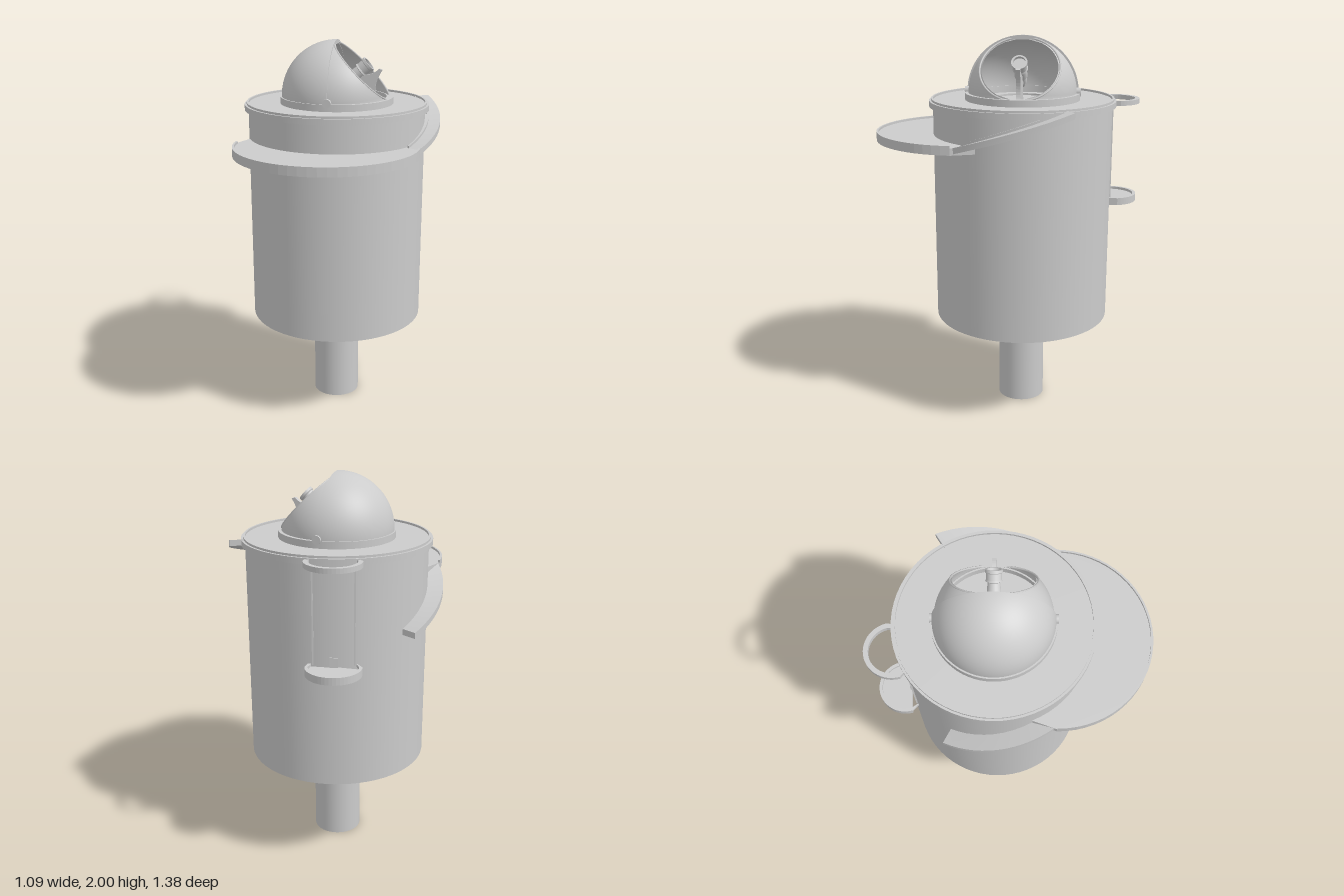
import * as THREE from 'three';

const grey = new THREE.MeshStandardMaterial({ color: 0xcccccc, side: THREE.DoubleSide });
const CX = -0.085; // tower axis in z
const R = 0.465;   // tower radius

function part(parent, name, geo, x = 0, y = 0, z = 0) {
  const m = new THREE.Mesh(geo, grey);
  m.name = name;
  m.position.set(x, y, z);
  parent.add(m);
  return m;
}

// Revolved profile with crisp edges: each straight run gets its own surface
function turned(parent, name, pts, seg = 64) {
  const g = new THREE.Group();
  g.name = name;
  for (let i = 0; i < pts.length - 1; i++) {
    const run = [pts[i], pts[i + 1]].map(p => new THREE.Vector2(p[0], p[1]));
    part(g, name + 'Face', new THREE.LatheGeometry(run, seg));
  }
  parent.add(g);
  return g;
}

// Flat slab from a plan shape (x, z) with its top at y = top
function slab(shape, top, thick, seg = 16) {
  const g = new THREE.ExtrudeGeometry(shape, { depth: thick, bevelEnabled: false, curveSegments: seg });
  return g.rotateX(Math.PI / 2).translate(0, top, 0);
}

// Half ring in plan, centred on (0, cz)
function halfRing(cz, outer, inner) {
  const s = new THREE.Shape();
  s.absarc(0, cz, outer, 0, Math.PI, false);
  s.absarc(0, cz, inner, Math.PI, 0, true);
  return s;
}

// Curved sloping strip round the tower from angle a0 to a1
function ramp(r0, r1, a0, a1, y0, y1, thick) {
  const g = new THREE.BoxGeometry(1, thick, 1, 1, 1, 14);
  const p = g.attributes.position;
  for (let i = 0; i < p.count; i++) {
    const t = p.getZ(i) + 0.5;
    const r = p.getX(i) > 0 ? r1 : r0;
    const a = a0 + (a1 - a0) * t;
    p.setXYZ(i, r * Math.cos(a), y0 + (y1 - y0) * t + p.getY(i) - thick / 2, r * Math.sin(a));
  }
  g.computeVertexNormals();
  return g;
}

// Side of the front dome: a quarter sphere cut off by a 45 degree plane
function domeCheek(r, cut) {
  const g = new THREE.PlaneGeometry(1, 1, 24, 14);
  const p = g.attributes.position;
  for (let i = 0; i < p.count; i++) {
    const phi = (p.getX(i) + 0.5) * Math.PI / 2;
    const max = Math.asin(Math.min(1, cut / r / (Math.cos(phi) + Math.sin(phi))));
    const th = (0.5 - p.getY(i)) * max;
    p.setXYZ(i, r * Math.sin(th) * Math.cos(phi), r * Math.sin(th) * Math.sin(phi), r * Math.cos(th));
  }
  g.computeVertexNormals();
  return g;
}

function buildTower(root) {
  turned(root, 'towerWall', [[R - 0.02, 0.82], [R - 0.02, 0.505], [R, 0.505], [R, 1.645]]);
  turned(root, 'topDeck', [[R, 1.645], [0.485, 1.645], [0.485, 1.675], [0, 1.675]]);
  turned(root, 'deckCurb', [[0.474, 1.675], [0.474, 1.686], [0.464, 1.686], [0.464, 1.675]]);
  turned(root, 'innerFloor', [[R - 0.02, 0.82], [0.33, 0.82], [0.3, 0.86], [0.12, 0.86]]);
  part(root, 'column', new THREE.CylinderGeometry(0.125, 0.125, 0.86, 48), 0, 0.43, 0);

  // Ribs bracing the column head
  const rib = new THREE.Shape([[0.11, 0.7], [0.15, 0.7], [0.25, 0.8], [0.25, 0.86], [0.11, 0.86]]
    .map(q => new THREE.Vector2(...q)));
  for (let i = 0; i < 24; i++) {
    const g = new THREE.ExtrudeGeometry(rib, { depth: 0.016, bevelEnabled: false });
    part(root, 'columnRib', g.translate(0, 0, -0.008)).rotation.y = i * Math.PI / 12;
  }
}

function buildBalcony(root) {
  // Wide front platform wrapped round the tower
  const s = new THREE.Shape();
  s.absarc(0, 0.3, 0.47, 0, Math.PI, false);
  s.lineTo(-0.43, 0.185);
  s.absarc(0, 0, R, Math.PI - 0.406, 0.406, true);
  part(root, 'frontPlatform', slab(s, 1.5, 0.035));
  part(root, 'platformCurb', slab(halfRing(0.3, 0.47, 0.46), 1.512, 0.014));

  // One ramp climbs to the deck, the other descends
  const a = 0.56;
  part(root, 'upperRamp', ramp(R - 0.005, 0.545, -0.57, a, 1.68, 1.5, 0.03));
  part(root, 'upperRampCurb', ramp(0.476, 0.484, -0.4, a, 1.665, 1.512, 0.014));
  part(root, 'lowerRamp', ramp(R - 0.005, 0.545, Math.PI - a, Math.PI + 0.48, 1.5, 1.29, 0.03));
}

function buildLift(root) {
  // Local +z points outward from the rear wall
  const g = new THREE.Group();
  g.name = 'rearLift';
  g.rotation.y = Math.atan2(-0.145, -0.468);
  root.add(g);
  const plan = (outer, inner) => {
    const s = new THREE.Shape();
    s.moveTo(outer - 0.02, 0.43);
    s.absarc(0, 0.49, outer, 0, Math.PI, false);
    s.lineTo(-outer + 0.02, 0.43);
    if (inner) {
      s.lineTo(-inner + 0.02, 0.43);
      s.absarc(0, 0.49, inner, Math.PI, 0, true);
      s.lineTo(inner - 0.02, 0.43);
    }
    return s;
  };
  part(g, 'upperLoop', slab(plan(0.138, 0.115), 1.67, 0.025, 12));
  part(g, 'lowerPlatform', slab(plan(0.138, 0), 1.14, 0.025, 12));
  part(g, 'lowerPlatformCurb', slab(plan(0.138, 0.122), 1.153, 0.014, 12));
  for (const x of [-0.1, 0.1]) part(g, 'guideRail', new THREE.BoxGeometry(0.008, 0.5, 0.01), x, 1.4, 0.456);
  part(g, 'door', new THREE.BoxGeometry(0.04, 0.05, 0.01), 0, 1.165, 0.466);
}

function buildDome(root) {
  const dome = new THREE.Group();
  dome.name = 'dome';
  dome.position.y = 1.71;
  root.add(dome);
  turned(dome, 'baseRing', [[0.298, -0.035], [0.298, 0], [0.262, 0], [0.262, -0.035]]);
  turned(dome, 'floorRing', [[0.155, -0.035], [0.155, -0.025], [0.14, -0.025], [0.14, -0.035]]);

  // Closed half, with an inner skin and arched edge
  for (const r of [0.29, 0.268])
    part(dome, 'rearShell', new THREE.SphereGeometry(r, 36, 20, -Math.PI / 2, Math.PI, 0, Math.PI / 2));
  part(dome, 'shellEdge', new THREE.RingGeometry(0.268, 0.29, 40, 1, 0, Math.PI).rotateY(Math.PI / 2));

  // Open half: two cheeks round a slanted circular opening
  for (const side of [1, -1]) {
    for (const r of [0.28, 0.27]) part(dome, 'frontCheek', domeCheek(r, 0.268)).scale.z = side;
    const knob = part(dome, 'hingeKnob', new THREE.CylinderGeometry(0.022, 0.022, 0.025, 16), 0, 0.005, side * 0.288);
    knob.rotation.x = Math.PI / 2;
  }
  const lip = part(dome, 'openingLip', new THREE.TorusGeometry(0.203, 0.005, 6, 48), 0.134, 0.134, 0);
  lip.rotation.set(-Math.PI / 4, Math.PI / 2, 0, 'YXZ');
}

function buildTelescope(root) {
  const g = new THREE.Group();
  g.name = 'telescope';
  root.add(g);
  const tube = turned(g, 'telescopeTube', [[0, 0], [0.02, 0], [0.02, 0.03], [0.028, 0.03], [0.024, 0.075],
    [0.034, 0.08], [0.029, 0.135], [0.04, 0.14], [0.036, 0.148], [0.036, 0.178], [0.041, 0.182],
    [0.041, 0.195], [0.032, 0.195], [0.032, 0.18], [0, 0.18]], 24);
  tube.position.set(0.02, 1.755, 0);
  tube.rotation.z = -0.87;

  // Thin curved stand
  const s = new THREE.Shape();
  s.moveTo(0.06, 1.675);
  s.lineTo(0.23, 1.675);
  s.quadraticCurveTo(0.17, 1.74, 0.24, 1.85);
  s.lineTo(0.222, 1.855);
  s.quadraticCurveTo(0.19, 1.82, 0.13, 1.82);
  s.lineTo(0.06, 1.775);
  s.quadraticCurveTo(0.11, 1.74, 0.06, 1.675);
  part(g, 'telescopeStand', new THREE.ExtrudeGeometry(s, { depth: 0.022, bevelEnabled: false }).translate(0, 0, -0.011));
}

export function createModel() {
  const model = new THREE.Group();
  model.name = 'observatoryTower';
  const root = new THREE.Group();
  root.name = 'tower';
  root.position.z = CX;
  model.add(root);
  [buildTower, buildBalcony, buildLift, buildDome, buildTelescope].forEach(build => build(root));
  return model;
}
